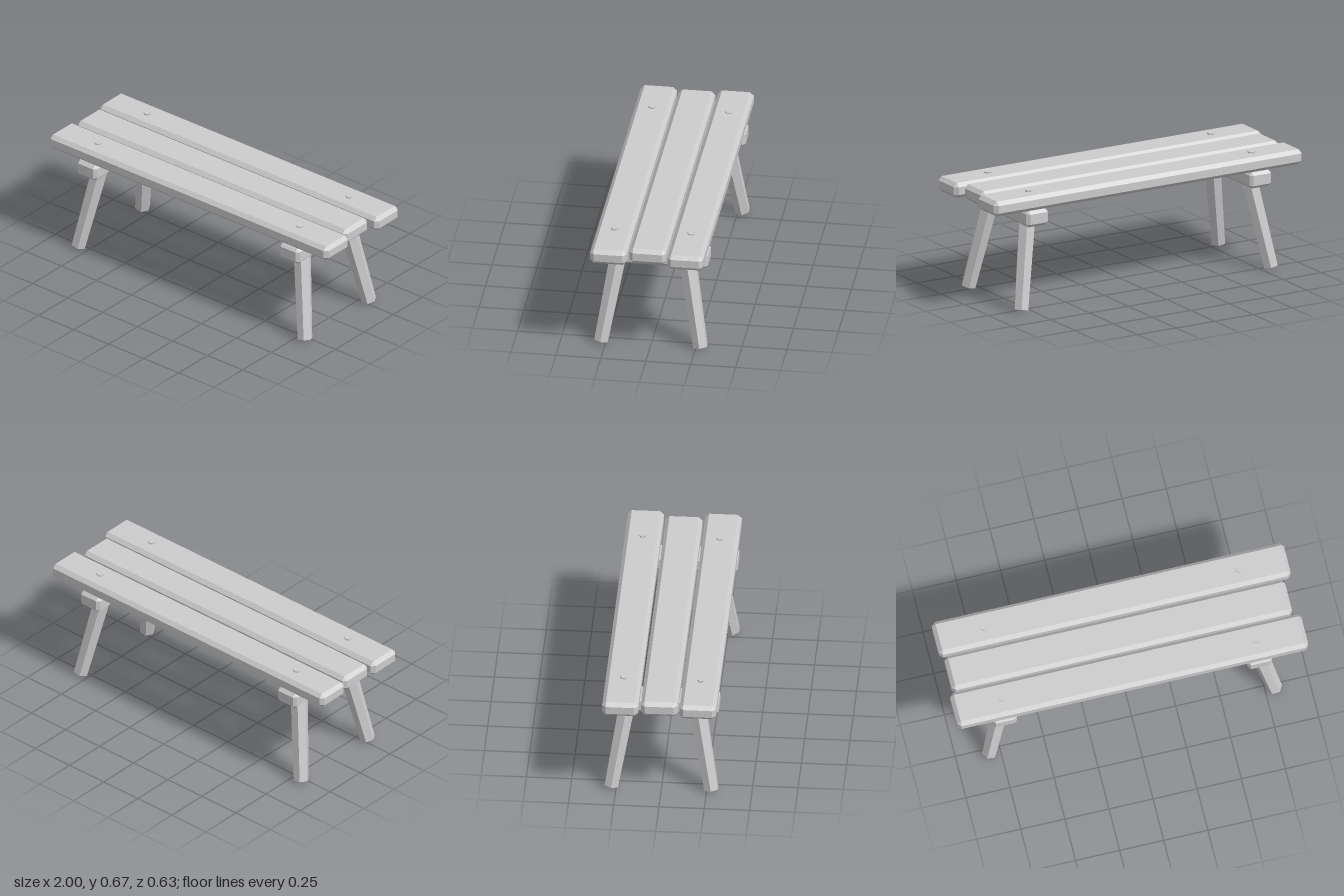
import * as THREE from 'three';
import { ConvexGeometry } from 'three/addons/geometries/ConvexGeometry.js';

const wood = new THREE.MeshStandardMaterial({ color: 0xcccccc });
wood.name = 'paleGrey';

// Box given by its limits, with every edge chamfered by c
function chamferedBox(name, [x0, x1], [y0, y1], [z0, z1], c) {
  const half = [(x1 - x0) / 2, (y1 - y0) / 2, (z1 - z0) / 2];
  const points = [];
  for (const sx of [-1, 1]) for (const sy of [-1, 1]) for (const sz of [-1, 1]) {
    const signs = [sx, sy, sz];
    for (let axis = 0; axis < 3; axis++) {
      // full extent along one axis, pulled in along the other two
      points.push(new THREE.Vector3(...signs.map((s, i) => s * (half[i] - (i === axis ? 0 : c)))));
    }
  }
  const mesh = new THREE.Mesh(new ConvexGeometry(points), wood);
  mesh.position.set((x0 + x1) / 2, (y0 + y1) / 2, (z0 + z1) / 2);
  mesh.name = name;
  return mesh;
}

// Six-sided rod from foot to head
function hexRod(name, foot, head, rFoot, rHead, turn) {
  const axis = head.clone().sub(foot);
  const geometry = new THREE.CylinderGeometry(rHead, rFoot, axis.length(), 6, 1, false, turn).toNonIndexed();
  geometry.computeVertexNormals();
  const mesh = new THREE.Mesh(geometry, wood);
  mesh.position.copy(foot).add(head).multiplyScalar(0.5);
  mesh.quaternion.setFromUnitVectors(new THREE.Vector3(0, 1, 0), axis.normalize());
  mesh.name = name;
  return mesh;
}

export function createModel() {
  const bench = new THREE.Group();
  bench.name = 'bench';

  // Seat planks, the middle one a little shorter
  bench.add(
    chamferedBox('frontPlank', [-1, 0.99], [0.576, 0.662], [0.112, 0.314], 0.021),
    chamferedBox('middlePlank', [-0.98, 0.95], [0.574, 0.662], [-0.103, 0.101], 0.021),
    chamferedBox('backPlank', [-1, 0.995], [0.576, 0.662], [-0.315, -0.116], 0.021)
  );

  for (const side of [-1, 1]) {
    const label = side > 0 ? 'left' : 'right';
    const shift = side > 0 ? -0.008 : 0;
    const barX = side * 0.73 + (side > 0 ? -0.015 : 0);

    // Cross bar under the planks
    bench.add(chamferedBox(label + 'CrossBar', [barX - 0.07, barX + 0.07], [0.483, 0.576], [-0.313, 0.315], 0.017));

    for (const end of [-1, 1]) {
      const place = label + (end > 0 ? 'Front' : 'Back');
      // Splayed leg, running into the cross bar
      bench.add(hexRod(place + 'Leg',
        new THREE.Vector3(side * 0.812 + shift, 0.011, end * 0.276),
        new THREE.Vector3(side * 0.717 + shift, 0.54, end * 0.187),
        0.043, 0.051, Math.PI / 6));
      // Peg head standing proud of the plank
      bench.add(hexRod(place + 'Peg',
        new THREE.Vector3(side * 0.725 + shift, 0.6, end * 0.213),
        new THREE.Vector3(side * 0.725 + shift, 0.67, end * 0.213),
        0.021, 0.021, 0));
    }
  }
  return bench;
}
